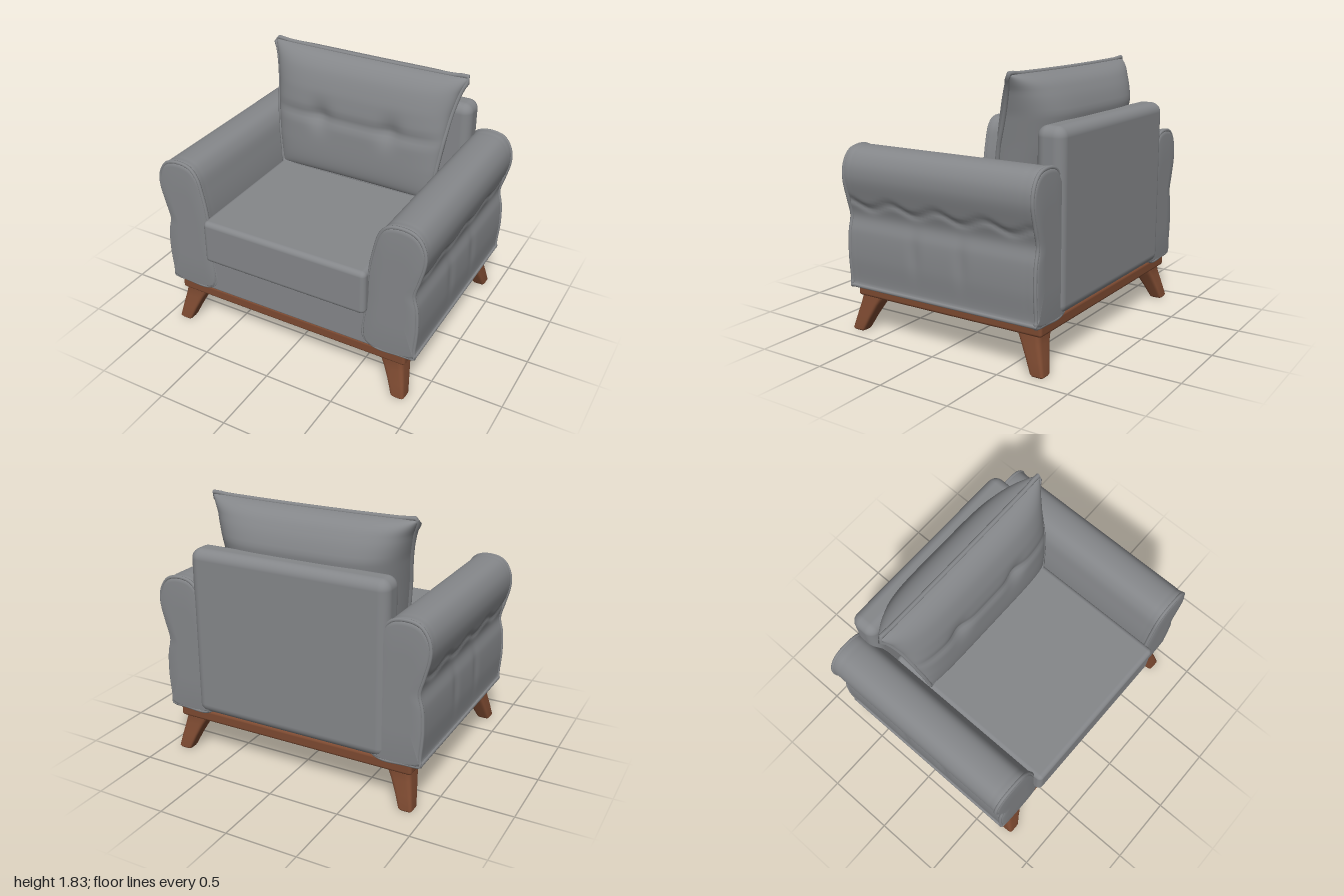
import * as THREE from 'three';
import { mergeVertices } from 'three/addons/utils/BufferGeometryUtils.js';
import { RoundedBoxGeometry } from 'three/addons/geometries/RoundedBoxGeometry.js';

const fabric = new THREE.MeshStandardMaterial({ color: 0x85878a });
fabric.name = 'grey fabric';
const wood = new THREE.MeshStandardMaterial({ color: 0x7d4a31 });
wood.name = 'brown wood';

function add(parent, name, geometry, material) {
  const mesh = new THREE.Mesh(geometry, material);
  mesh.name = name;
  parent.add(mesh);
  return mesh;
}

// Smooth surface from a rule fn(u, v) -> [x, y, z]; welds closed seams
function surface(nu, nv, fn) {
  const pos = [], idx = [];
  for (let j = 0; j <= nv; j++)
    for (let i = 0; i <= nu; i++) pos.push(...fn(i / nu, j / nv));
  for (let j = 0; j < nv; j++)
    for (let i = 0; i < nu; i++) {
      const a = j * (nu + 1) + i, d = a + nu + 1;
      idx.push(a, a + 1, d + 1, a, d + 1, d);
    }
  let g = new THREE.BufferGeometry();
  g.setAttribute('position', new THREE.Float32BufferAttribute(pos, 3));
  g.setIndex(idx);
  g = mergeVertices(g, 1e-5);
  g.computeVertexNormals();
  return g;
}

// Rounded box given by its extents
function block(parent, name, x, y0, y1, z0, z1, r, material) {
  const g = new RoundedBoxGeometry(2 * x, y1 - y0, z1 - z0, 5, r);
  g.translate(0, (y0 + y1) / 2, (z0 + z1) / 2);
  return add(parent, name, g, material);
}

function piping(parent, name, points, r, closed) {
  const curve = new THREE.CatmullRomCurve3(points, closed);
  return add(parent, name, new THREE.TubeGeometry(curve, 96, r, 8, closed), fabric);
}

const gauss = (d, w) => Math.exp(-(d * d) / (w * w));

// Value at t from a table of [t, value...] rows
function lookup(rows, t) {
  let k = 0;
  while (k < rows.length - 2 && t > rows[k + 1][0]) k++;
  const f = (t - rows[k][0]) / (rows[k + 1][0] - rows[k][0]);
  return rows[k].map((a, n) => a + (rows[k + 1][n] - a) * f);
}

// Arm cross-section: waisted outside, rolled top, straight inside
const armCurve = new THREE.CatmullRomCurve3([
  [0.955, 0.33], [0.95, 0.37], [0.962, 0.55], [0.955, 0.72], [0.932, 0.83], [0.962, 0.95],
  [0.996, 1.1], [0.983, 1.2], [0.93, 1.275], [0.845, 1.3], [0.74, 1.283], [0.685, 1.22],
  [0.65, 1.1], [0.62, 0.93], [0.61, 0.7], [0.605, 0.33],
].map(([x, y]) => new THREE.Vector3(x, y, 0)), true);

// Stations along the arm: [z, section scale]
const armStations = [[-0.77, 0], [-0.77, 0.5], [-0.77, 0.92], [-0.757, 0.975], [-0.735, 1], [-0.7, 0.988]];
for (let k = 0; k <= 44; k++) armStations.push([-0.67 + k * 0.03, 0.993]);
armStations.push([0.67, 0.988], [0.7, 1], [0.72, 0.975], [0.732, 0.92], [0.732, 0.5], [0.732, 0]);

function buildArm(side) {
  const arm = new THREE.Group();
  arm.name = side > 0 ? 'leftArm' : 'rightArm';
  const n = armStations.length - 1;
  const section = (u, s) => {
    const p = armCurve.getPoint(u);
    return [0.8 + (p.x - 0.8) * s, Math.max(0.33, 0.8 + (p.y - 0.8) * s)];
  };
  add(arm, 'armPad', surface(110, n, (u, v) => {
    const [z, s] = armStations[Math.round(v * n)];
    let [x, y] = section(side > 0 ? u : (1 - u), s);
    // Wavy fold and shallow tufts on the outer face
    if (x > 0.88 && s > 0.98) {
      const fold = 0.92 + 0.025 * Math.cos((z - 0.35) * 17);
      x -= 0.012 * gauss(y - fold, 0.022);
      x -= 0.01 * gauss(y - 0.65, 0.13) * (gauss(z - 0.17, 0.04) + gauss(z + 0.2, 0.04));
    }
    return [side * x, y, z];
  }), fabric);
  // Piping around both ends and along the hem
  for (const z of [-0.75, 0.712]) {
    const ring = [];
    for (let k = 0; k < 40; k++) {
      const [x, y] = section(k / 40, 0.98);
      ring.push(new THREE.Vector3(side * x, y, z));
    }
    piping(arm, 'armPiping', ring, 0.013, true);
  }
  piping(arm, 'hemPiping', [-0.76, -0.3, 0.2, 0.72]
    .map((z) => new THREE.Vector3(side * 0.95, 0.345, z)), 0.014, false);
  return arm;
}

// Back cushion rows: [y, half width, seam z, front bulge, back bulge]
const cushionRows = [
  [0.93, 0.6, -0.235, 0.055, 0.3], [1.15, 0.625, -0.25, 0.06, 0.33], [1.35, 0.65, -0.285, 0.085, 0.35],
  [1.55, 0.675, -0.345, 0.115, 0.32], [1.7, 0.71, -0.39, 0.12, 0.24], [1.8, 0.755, -0.425, 0.12, 0.2],
];

function cushionPoint(u, v, face) {
  const [y, w, z, front, back] = lookup(cushionRows, 0.93 + 0.87 * (v + 1) / 2);
  const round = Math.sqrt(Math.max(0, (1 - Math.abs(u) ** 5) * (1 - Math.abs(v) ** 6)));
  let bulge = 0;
  if (face > 0) {
    const crease = 0.2 * gauss(v, 0.09);
    const tufts = 0.35 * (gauss(u - 0.42, 0.12) + gauss(u + 0.42, 0.12)) * gauss(v, 0.22);
    bulge = front * round * (1 - crease - tufts);
  } else if (face < 0) bulge = -back * round;
  return [u * w, y + 0.008 * u * u * v, z + bulge];
}

function buildBackCushion() {
  const cushion = new THREE.Group();
  cushion.name = 'backCushion';
  // Ease the grid towards the edges, where the shape curves most
  const ease = (t) => Math.sin((t - 0.5) * Math.PI);
  add(cushion, 'cushionFront', surface(60, 48, (u, v) => cushionPoint(ease(u), ease(v), 1)), fabric);
  add(cushion, 'cushionRear', surface(60, 48, (u, v) => cushionPoint(ease(1 - u), ease(v), -1)), fabric);
  const edge = [];
  const corners = [[-1, -1], [1, -1], [1, 1], [-1, 1]];
  corners.forEach(([u, v], k) => {
    const [u2, v2] = corners[(k + 1) % 4];
    for (let s = 0; s < 12; s++) {
      const f = s / 12;
      edge.push(new THREE.Vector3(...cushionPoint(u + (u2 - u) * f, v + (v2 - v) * f, 0)));
    }
  });
  piping(cushion, 'cushionPiping', edge, 0.016, true);
  return cushion;
}

// Splayed leg sections: [y, centre x, centre z, half width, half depth]
const legRows = [
  [0.28, 0.785, 0.63, 0.082, 0.085], [0.24, 0.79, 0.632, 0.082, 0.082], [0.19, 0.808, 0.65, 0.073, 0.072],
  [0.1, 0.838, 0.685, 0.06, 0.06], [0.012, 0.863, 0.717, 0.05, 0.05], [0, 0.863, 0.717, 0.042, 0.042],
  [0, 0.863, 0.717, 0, 0],
];

function buildLeg(sx, sz) {
  const n = legRows.length - 1;
  const power = (c) => Math.sign(c) * Math.abs(c) ** 0.4;
  return surface(32, n, (u, v) => {
    const [y, cx, cz, w, d] = legRows[Math.round(v * n)];
    const a = u * Math.PI * 2;
    return [sx * cx + w * power(Math.cos(a)), y, sz * cz + d * power(Math.sin(a)) - (sz < 0 ? 0.01 : 0)];
  });
}

export function createModel() {
  const chair = new THREE.Group();
  chair.name = 'armchair';

  // Wooden plinth and legs
  block(chair, 'plinth', 0.89, 0.25, 0.335, -0.75, 0.72, 0.02, wood);
  for (const sx of [-1, 1])
    for (const sz of [-1, 1])
      add(chair, sz > 0 ? 'frontLeg' : 'backLeg', buildLeg(sx, sz), wood);

  // Upholstered body
  block(chair, 'seatBase', 0.68, 0.325, 0.64, -0.72, 0.722, 0.015, fabric);
  block(chair, 'backrest', 0.72, 0.33, 1.515, -0.785, -0.585, 0.07, fabric);
  chair.add(buildArm(1), buildArm(-1));

  // Loose cushions; the seat is slightly crowned
  const seat = block(chair, 'seatCushion', 0.62, 0.6, 0.925, -0.56, 0.782, 0.035, fabric);
  const p = seat.geometry.attributes.position;
  for (let i = 0; i < p.count; i++)
    if (p.getY(i) > 0.8) p.setY(i, p.getY(i) + 0.008 * (1 - (p.getX(i) / 0.62) ** 2));
  chair.add(buildBackCushion());
  return chair;
}
